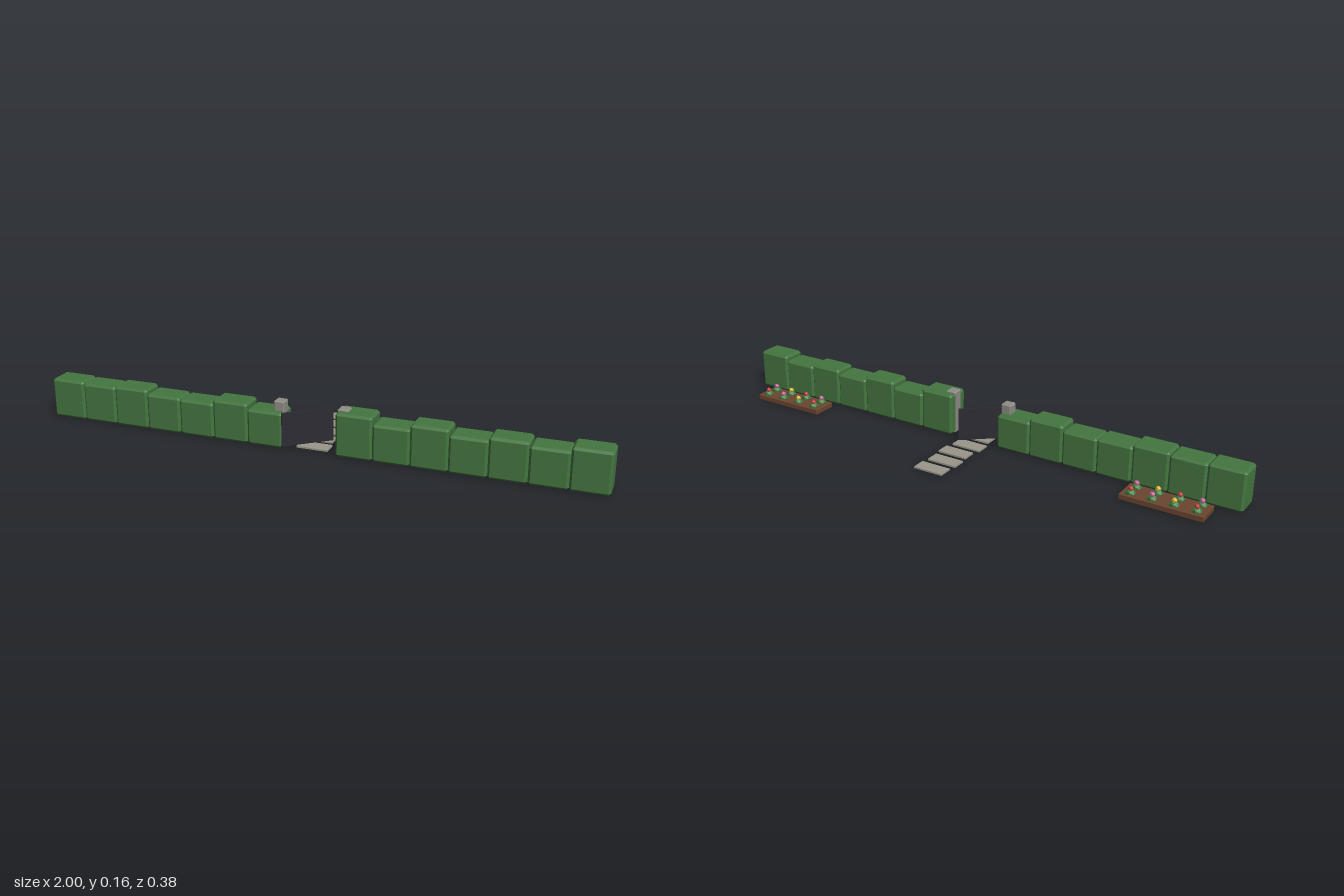
import * as THREE from 'three';
import { ConvexGeometry } from 'three/addons/geometries/ConvexGeometry.js';

const mat = (name, color) => {
  const m = new THREE.MeshStandardMaterial({ color, flatShading: true });
  m.name = name;
  return m;
};

// Box with every edge cut at 45 degrees, standing on y = 0
function chamferBox(w, h, d, c) {
  const pts = [];
  for (const sx of [-1, 1]) for (const sy of [-1, 1]) for (const sz of [-1, 1]) {
    for (const keep of [0, 1, 2]) {
      const inset = [c, c, c];
      inset[keep] = 0;
      pts.push(new THREE.Vector3(
        sx * (w / 2 - inset[0]),
        h / 2 + sy * (h / 2 - inset[1]),
        sz * (d / 2 - inset[2])));
    }
  }
  return new ConvexGeometry(pts);
}

export function createModel() {
  const root = new THREE.Group();
  root.name = 'frontGarden';

  const hedgeGreen = mat('hedge green', 0x447540);
  const leafGreen = mat('leaf green', 0x3f7a3f);
  const soilBrown = mat('soil brown', 0x6b4530);
  const stoneGrey = mat('path stone', 0x9a968b);
  const postGrey = mat('post grey', 0x8f8c86);
  const gateDark = mat('gate dark', 0x2c2b33);
  const blooms = [mat('bloom red', 0xc23a36), mat('bloom yellow', 0xd9b53a), mat('bloom pink', 0xc9629a)];

  const add = (parent, name, geo, material, x, y, z) => {
    const m = new THREE.Mesh(geo, material);
    m.name = name;
    m.position.set(x, y, z);
    parent.add(m);
    return m;
  };

  // Two hedge rows, each clipped to uneven heights, either side of the gap
  const step = 0.129;
  const rows = [
    { name: 'rightHedge', start: -1, heights: [0.143, 0.139, 0.144, 0.131, 0.128, 0.143, 0.126] },
    { name: 'leftHedge', start: 0.094, heights: [0.154, 0.131, 0.148, 0.13, 0.142, 0.131, 0.146] },
  ];
  for (const { name, start, heights } of rows) {
    const hedge = new THREE.Group();
    hedge.name = name;
    heights.forEach((h, i) =>
      add(hedge, 'hedgeBlock', chamferBox(step, h, 0.092, 0.008), hedgeGreen, start + step * (i + 0.5), 0.001, 0.146));
    root.add(hedge);
  }

  // Gate posts
  const postGeo = chamferBox(0.039, 0.161, 0.039, 0.004);
  for (const x of [-0.117, 0.113]) add(root, 'gatePost', postGeo, postGrey, x, 0, 0.146);

  // Gate swung inwards from the hinge
  const hinge = new THREE.Vector2(-0.1, 0.187), tip = new THREE.Vector2(0.043, 0.07);
  const span = tip.clone().sub(hinge);
  const gate = add(root, 'gate', new THREE.BoxGeometry(span.length(), 0.12, 0.006), gateDark,
    (hinge.x + tip.x) / 2, 0.068, (hinge.y + tip.y) / 2);
  gate.rotation.y = -Math.atan2(span.y, span.x);

  // Stepping stones
  const stoneGeo = new THREE.BoxGeometry(0.112, 0.006, 0.052);
  [0, -0.006, 0, -0.01, 0].forEach((x, i) =>
    add(root, 'steppingStone', stoneGeo, stoneGrey, x, 0.003, -0.165 + i * 0.075));

  // Flower beds with two rows of four plants
  const bedGeo = chamferBox(0.29, 0.021, 0.092, 0.002);
  const leafGeo = new THREE.IcosahedronGeometry(0.019, 0).scale(1, 0.8, 1);
  const bloomGeo = new THREE.IcosahedronGeometry(0.01, 0);
  [-0.772, 0.768].forEach((bx, b) => {
    const bed = new THREE.Group();
    bed.name = b ? 'leftFlowerBed' : 'rightFlowerBed';
    bed.position.set(bx, 0, 0.025);
    add(bed, 'soil', bedGeo, soilBrown, 0, 0, 0);
    for (let i = 0; i < 4; i++) for (let j = 0; j < 2; j++) {
      const x = (i - 1.5) * 0.075, z = j ? 0.023 : -0.023;
      add(bed, 'foliage', leafGeo, leafGreen, x, 0.023, z);
      add(bed, 'bloom', bloomGeo, blooms[(i + 2 * j) % 3], x, 0.039, z);
    }
    root.add(bed);
  });

  return root;
}
